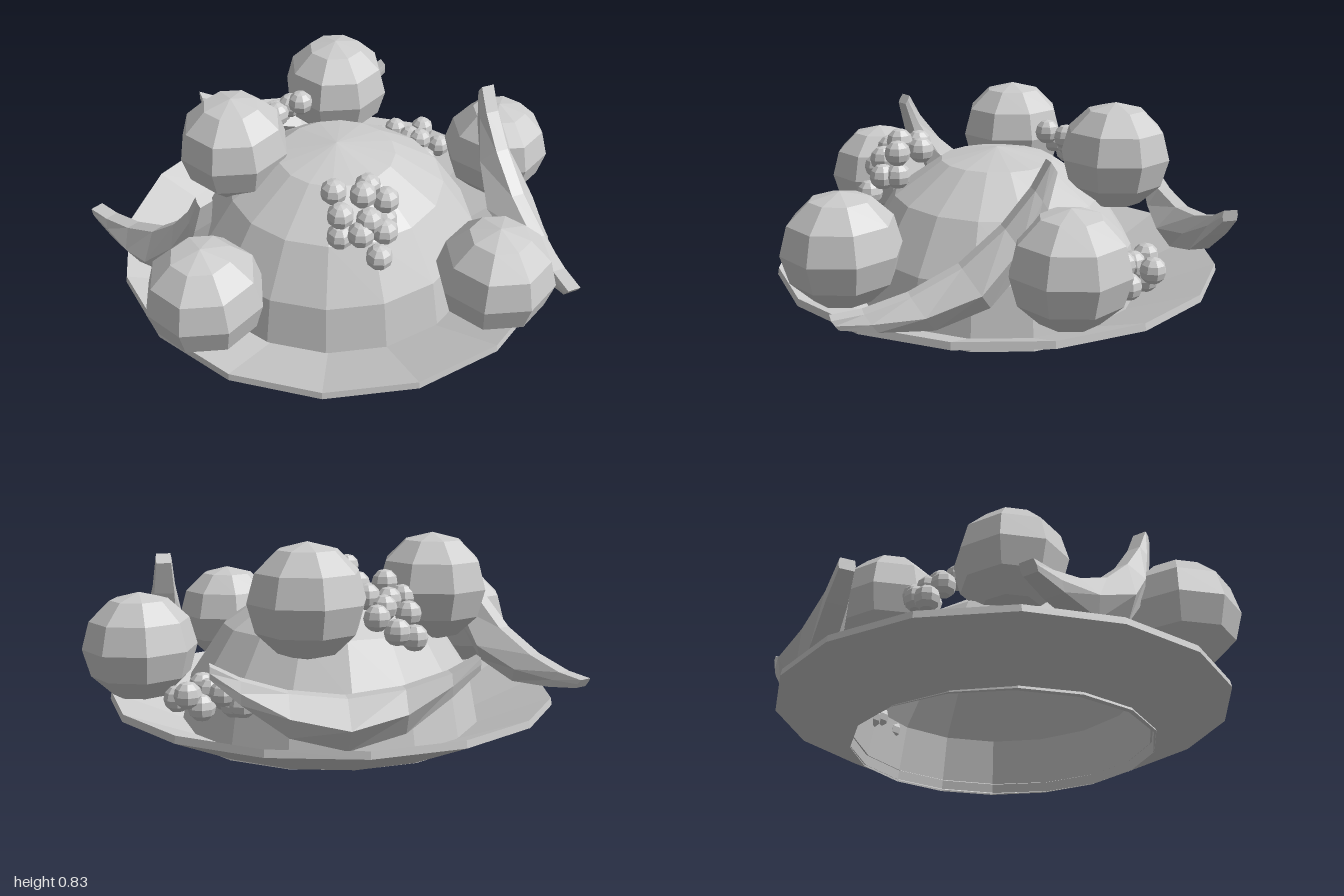
import * as THREE from 'three';

const mat = new THREE.MeshStandardMaterial({ color: 0xcccccc, flatShading: true });
const openMat = new THREE.MeshStandardMaterial({ color: 0xcccccc, flatShading: true, side: THREE.DoubleSide });
const CX = -0.015, DOME = 0.635;

function add(parent, geo, name, pos = [0, 0, 0], material = mat) {
  const m = new THREE.Mesh(geo, material);
  m.name = name;
  m.position.set(...pos);
  parent.add(m);
  return m;
}

// Crescent fruit along x: hexagonal sections that sag in the middle
function bananaGeometry() {
  // x, centre height, half width, half height
  const stations = [
    [-0.46, 0, 0.032, 0.022], [-0.36, -0.07, 0.045, 0.04], [-0.2, -0.155, 0.078, 0.075],
    [0, -0.195, 0.112, 0.09],
    [0.2, -0.155, 0.078, 0.075], [0.36, -0.07, 0.045, 0.04], [0.46, 0, 0.032, 0.022],
  ];
  const pos = [], idx = [], n = 6;
  for (const [x, y, w, h] of stations) {
    const b = Math.min(0.045, w * 0.9);
    const ring = [[0.028, h], [w, 0], [b, -h], [-b, -h], [-w, 0], [-0.028, h]];
    for (const [z, dy] of ring) pos.push(x, y + dy, z);
  }
  for (let s = 0; s < stations.length - 1; s++)
    for (let i = 0; i < n; i++) {
      const a = s * n + i, b = s * n + (i + 1) % n;
      idx.push(a, a + n, b, b, a + n, b + n);
    }
  const last = (stations.length - 1) * n;
  for (let i = 1; i < n - 1; i++) {
    idx.push(0, i, i + 1);
    idx.push(last, last + i + 1, last + i);
  }
  const g = new THREE.BufferGeometry();
  g.setAttribute('position', new THREE.Float32BufferAttribute(pos, 3));
  g.setIndex(idx);
  g.computeVertexNormals();
  return g;
}

// Place a banana between its two tips, sagging downwards
function addBanana(parent, geo, a, b) {
  const A = new THREE.Vector3(...a), B = new THREE.Vector3(...b);
  const x = B.clone().sub(A).normalize();
  const z = x.clone().cross(new THREE.Vector3(0, 1, 0)).normalize();
  const y = z.clone().cross(x);
  const mid = A.add(B).multiplyScalar(0.5);
  const m = add(parent, geo, 'banana', mid.toArray(), openMat);
  m.quaternion.setFromRotationMatrix(new THREE.Matrix4().makeBasis(x, y, z));
}

export function createModel() {
  const model = new THREE.Group();
  model.name = 'fruitPlatter';

  // Sixteen-sided plate ring, open in the middle
  const profile = [[0.61, 0], [0.92, 0.145], [0.915, 0.173], [0.6, 0.04]];
  const plate = new THREE.LatheGeometry(profile.map(p => new THREE.Vector2(...p)), 16);
  add(model, plate, 'plate', [CX, 0, 0], openMat);

  // Hollow dome that carries the fruit
  const dome = new THREE.SphereGeometry(DOME, 16, 4, 0, Math.PI * 2, 0, Math.PI / 2);
  add(model, dome, 'dome', [CX, 0, 0], openMat).scale.z = 0.96;

  // Round fruit: three on the rim, two on the dome
  const apple = new THREE.SphereGeometry(0.23, 8, 6);
  apple.scale(1, 0.96, 1);
  const apples = [
    [-0.68, 0.38, 0.42], [0.39, 0.38, 0.675], [0.77, 0.38, -0.085],
    [0.14, 0.61, -0.46], [-0.405, 0.61, -0.16],
  ];
  for (const p of apples) add(model, apple, 'apple', p).rotation.y = 0.15;

  // Bananas
  const banana = bananaGeometry();
  addBanana(model, banana, [-0.41, 0.44, -0.81], [0.51, 0.44, -0.81]);
  addBanana(model, banana, [0.67, 0.72, -0.03], [0.715, 0.24, 0.72]);
  addBanana(model, banana, [-0.97, 0.25, -0.37], [-0.635, 0.72, 0.29]);

  // Grape bunches
  const grape = new THREE.SphereGeometry(0.053, 8, 6);
  const bunch = points => {
    const g = new THREE.Group();
    g.name = 'grapeBunch';
    points.forEach(p => add(g, grape, 'grape', p));
    model.add(g);
  };
  bunch([
    [-0.135, 0.64, 0.31], [0, 0.64, 0.32], [-0.15, 0.62, 0.43], [-0.05, 0.67, 0.4],
    [0.035, 0.64, 0.42], [-0.09, 0.56, 0.49], [0.01, 0.54, 0.48], [-0.03, 0.465, 0.53],
    [-0.155, 0.53, 0.44], [0.03, 0.545, 0.42], [-0.05, 0.6, 0.47],
  ]);
  // This bunch follows the dome surface
  bunch([
    [-0.27, -0.45], [-0.2, -0.465], [-0.125, -0.445], [-0.26, -0.38], [-0.185, -0.36],
    [-0.1, -0.37], [-0.07, -0.315], [-0.16, -0.4], [-0.19, -0.265], [-0.25, -0.315],
  ].map(([x, z]) => [x, Math.sqrt(DOME * DOME - x * x - z * z) + 0.1, z]));
  // This bunch lies low between the dome and the rim
  bunch([
    [0.385, 0.24, -0.51], [0.455, 0.28, -0.49], [0.535, 0.22, -0.46], [0.585, 0.27, -0.47],
    [0.415, 0.22, -0.43], [0.5, 0.27, -0.42], [0.45, 0.24, -0.385], [0.53, 0.28, -0.37],
    [0.625, 0.23, -0.36], [0.525, 0.22, -0.3],
  ]);

  return model;
}
